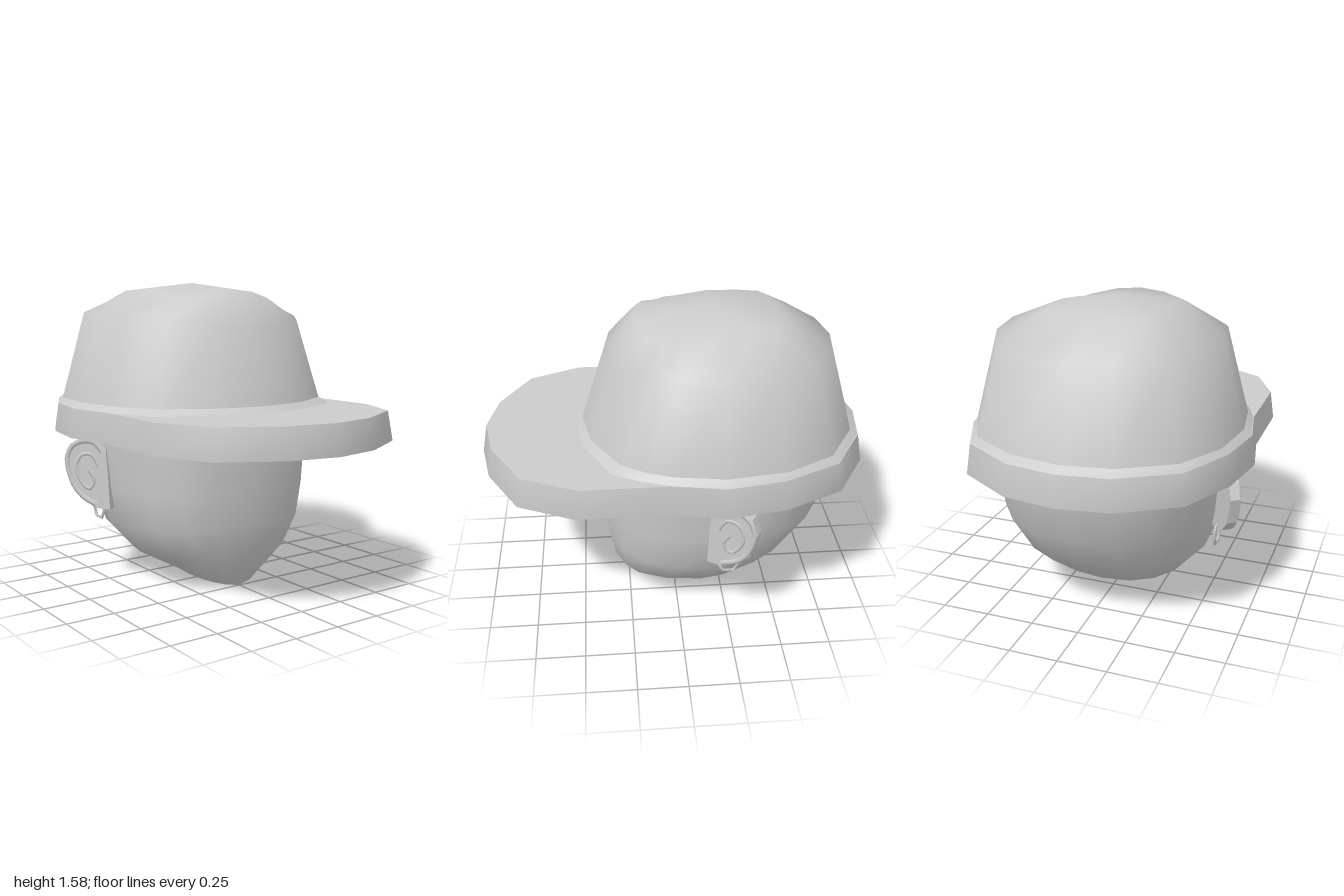
import * as THREE from 'three';
import { mergeVertices } from 'three/addons/utils/BufferGeometryUtils.js';

const material = new THREE.MeshStandardMaterial({ color: 0xcccccc, side: THREE.DoubleSide });

// Half outlines from back to front on the +x side, as [x, z]
const brimHalf = [[0, -1], [.26, -.96], [.54, -.79], [.68, -.5], [.73, -.21], [.68, .06], [.68, .51], [.55, .79], [.26, .95], [0, 1]];
const crownHalf = [[0, -.93], [.25, -.89], [.5, -.74], [.63, -.5], [.67, -.21], [.63, .05], [.58, .17], [.5, .29], [.25, .43], [0, .47]];
const bandHalf = [[0, -.97], [.25, -.93], [.523, -.765], [.66, -.49], [.705, -.21], [.66, .05], [.61, .19], [.54, .33], [.27, .46], [0, .51]];
const topHalf = [[0, -.53], [.14, -.52], [.25, -.47], [.275, -.36], [.28, -.2], [.28, -.02], [.275, .07], [.26, .14], [.13, .175], [0, .19]];

// Mirrors a half outline into a closed ring, scaled about z = cz; y is a number or a function of (x, z)
function ring(half, y, scale = 1, cz = -.22) {
  const back = half.slice(1, -1).reverse().map(([x, z]) => [-x, z]);
  return [...half, ...back].map(([x, z]) => {
    const px = x * scale, pz = cz + (z - cz) * scale;
    return [px, typeof y === 'function' ? y(px, pz) : y, pz];
  });
}

// Smooth skin through closed rings of equal length, listed from bottom to top
function loft(name, rings) {
  const n = rings[0].length, index = [];
  for (let r = 0; r < rings.length - 1; r++) {
    for (let i = 0; i < n; i++) {
      const a = r * n + i, b = r * n + (i + 1) % n;
      index.push(a, a + n, b, b, a + n, b + n);
    }
  }
  const geo = new THREE.BufferGeometry();
  geo.setAttribute('position', new THREE.Float32BufferAttribute(rings.flat(2), 3));
  geo.setIndex(index);
  const merged = mergeVertices(geo, 1e-4);
  merged.computeVertexNormals();
  return named(name, merged);
}

function named(name, geo) {
  const mesh = new THREE.Mesh(geo, material);
  mesh.name = name;
  return mesh;
}

// Head: tilted rings, each with a front point, a back point and a half width
function createHead() {
  const sections = [
    // front y, front z, back y, back z, half width
    [0, .12, 0, .12, 0],
    [.0, .25, .03, -.21, .2],
    [.2, .34, .13, -.42, .385],
    [.35, .37, .28, -.61, .5],
    [.52, .39, .52, -.79, .545],
    [.78, .4, .78, -.85, .57],
    [.95, .4, .95, -.87, .58],
  ];
  const n = 18;
  return loft('head', sections.map(([fy, fz, by, bz, w], s) =>
    Array.from({ length: n }, (_, i) => {
      const a = i / n * Math.PI * 2, sx = Math.sin(a), c = -Math.cos(a);
      // the face is a little boxier than the nape
      const p = c > 0 && s > 1 ? .76 : .87;
      const x = w * Math.sign(sx) * Math.abs(sx) ** p;
      const t = (Math.sign(c) * Math.abs(c) ** p + 1) / 2;
      // the jaw corners lift slightly beside the chin
      const lift = s === 1 ? .04 * Math.abs(sx) : 0;
      return [x, by + (fy - by) * t + lift, bz + (fz - bz) * t];
    })));
}

function createCap() {
  const cap = new THREE.Group();
  cap.name = 'cap';
  const shoulder = (x, z) => 1.43 - (z > -.2 ? .28 : .1) * (z + .2) ** 2;
  const topEdge = (x, z) => 1.54 - .6 * x * x * THREE.MathUtils.smoothstep(z, -.2, .14);
  const hollow = (x, z) => .79 + .08 * THREE.MathUtils.smoothstep(z, 0, .5);
  const brimTop = ring(brimHalf, .94, .972, -.02);
  const band = ring(bandHalf, .94);
  const foot = ring(crownHalf, .97);
  const lip = ring(brimHalf, .79, .975, -.02);
  const recess = ring(brimHalf, hollow, .965, -.02);
  cap.add(
    loft('crown', [foot, ring(crownHalf, shoulder, .825), ring(topHalf, topEdge), ring(crownHalf, 1.58, 0, -.19)]),
    loft('band', [band, foot]),
    loft('visorTop', [brimTop, band]),
    loft('brimEdge', [lip, ring(brimHalf, .79), brimTop]),
    loft('brimInnerWall', [recess, lip]),
    loft('brimUnderside', [ring(crownHalf, .777, .87), recess]),
  );
  return cap;
}

// Ear plate with a raised rim and an inner curl; side is +1 for the left ear
function createEar(side) {
  const ear = new THREE.Group();
  ear.name = side > 0 ? 'leftEar' : 'rightEar';
  const outline = [[-.01, .41], [0, .6], [.01, .72], [.06, .775], [.14, .78], [.225, .74], [.258, .66], [.22, .52], [.15, .45], [.07, .41]];
  const plate = new THREE.Group();
  plate.position.set(.56, 0, -.14);
  plate.rotation.y = 1;
  const plateGeo = new THREE.ExtrudeGeometry(new THREE.Shape(outline.map(p => new THREE.Vector2(...p))), { depth: .05, bevelEnabled: false });
  plateGeo.translate(0, 0, -.05);
  plate.add(named('earPlate', plateGeo));

  const ridge = (name, pts, radius) => {
    const curve = new THREE.CatmullRomCurve3(pts.map(([u, v]) => new THREE.Vector3(u, v, 0)));
    const geo = new THREE.TubeGeometry(curve, 20, radius, 5);
    geo.scale(1, 1, .6);
    plate.add(named(name, geo));
  };
  ridge('earRim', [[.03, .71], [.07, .755], [.14, .763], [.21, .73], [.24, .66], [.205, .53], [.145, .465], [.07, .43]], .015);
  ridge('earCurl', [[.05, .63], [.09, .69], [.15, .69], [.185, .63], [.16, .55], [.11, .51], [.08, .56], [.11, .61]], .01);
  ear.add(plate);

  // Earring: a thin six-sided hoop hanging from the lobe
  const hoop = named('earring', new THREE.TorusGeometry(.055, .009, 4, 6));
  hoop.rotation.y = Math.PI / 2;
  hoop.position.set(.56, .4, -.24);
  ear.add(hoop);

  // Mirror for the other side
  ear.scale.x = side;
  return ear;
}

export function createModel() {
  const model = new THREE.Group();
  model.name = 'cappedHead';
  model.add(createHead(), createCap(), createEar(1), createEar(-1));
  return model;
}
